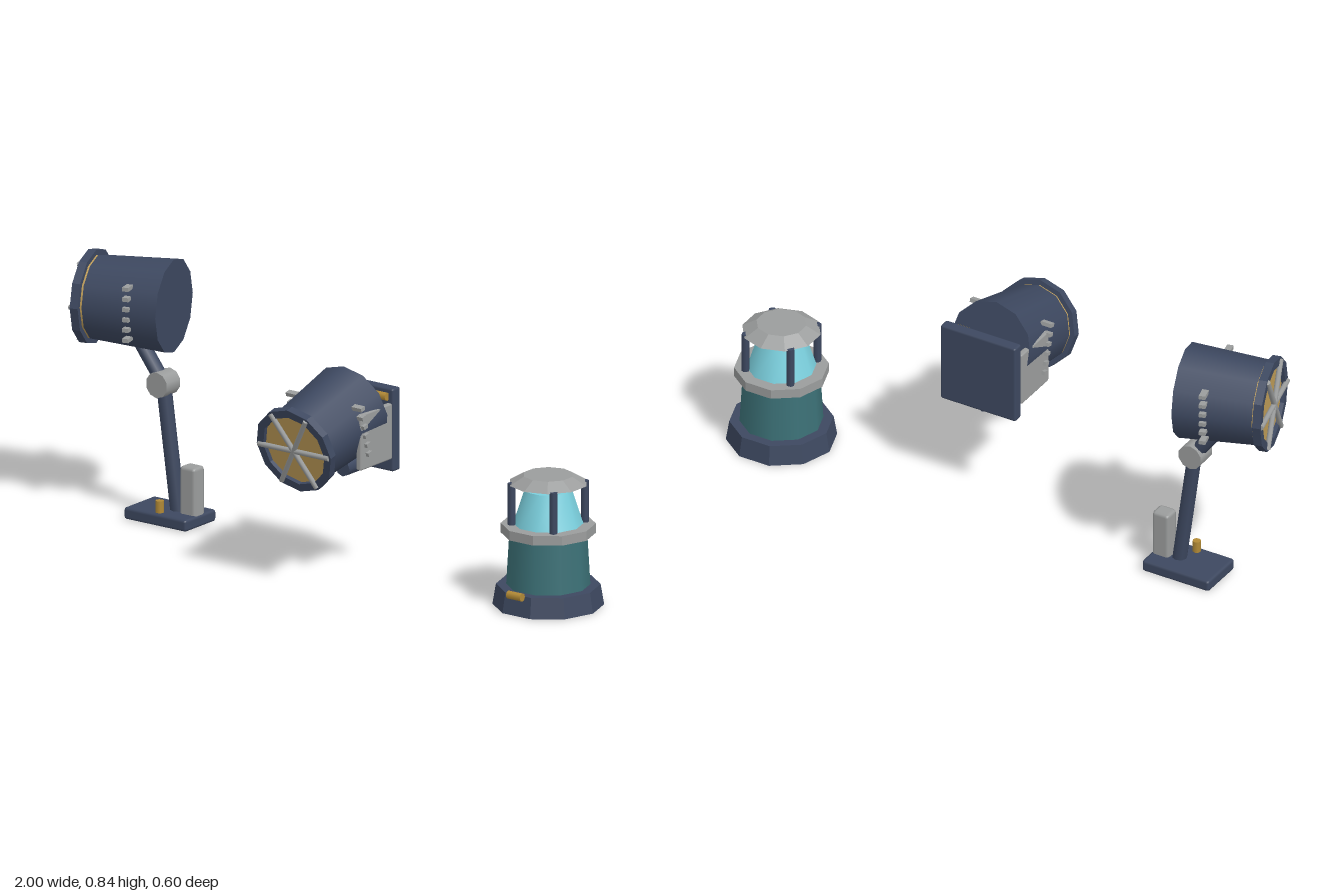
import * as THREE from 'three';
import { RoundedBoxGeometry } from 'three/addons/geometries/RoundedBoxGeometry.js';

const mat = (name, color, flat = false) => {
  const m = new THREE.MeshStandardMaterial({ color, flatShading: flat });
  m.name = name;
  return m;
};

export function createModel() {
  const navy = mat('navy paint', 0x3d4860);
  const grey = mat('grey metal', 0x9b9d9d);
  const brass = mat('brass', 0xb28a36);
  const amber = mat('amber lens', 0xbf9d58);
  const teal = mat('teal enamel', 0x3c7177);
  const cyan = mat('cyan glass', 0x7bd0de);

  const root = new THREE.Group();
  root.name = 'lightSet';

  const add = (parent, name, geo, material, x = 0, y = 0, z = 0) => {
    const m = new THREE.Mesh(geo, material);
    m.name = name;
    m.position.set(x, y, z);
    parent.add(m);
    return m;
  };
  const group = (name, x = 0, y = 0, z = 0) => {
    const g = new THREE.Group();
    g.name = name;
    g.position.set(x, y, z);
    root.add(g);
    return g;
  };
  const cyl = (rTop, rBottom, h, sides) => new THREE.CylinderGeometry(rTop, rBottom, h, sides);
  // Faceted cylinder with sharp sides
  const facet = (...a) => {
    const g = cyl(...a).toNonIndexed();
    g.computeVertexNormals();
    return g;
  };
  // Round bar between two points
  const bar = (parent, name, a, b, r, material) => {
    const p = new THREE.Vector3(...a), q = new THREE.Vector3(...b);
    const m = add(parent, name, cyl(r, r, p.distanceTo(q), 8), material);
    m.position.copy(p).add(q).multiplyScalar(0.5);
    m.quaternion.setFromUnitVectors(new THREE.Vector3(0, 1, 0), q.sub(p).normalize());
    return m;
  };
  const polygon = (Type, r, n) => new Type(Array.from({ length: n }, (_, i) => {
    const a = i * Math.PI * 2 / n;
    return new THREE.Vector2(Math.cos(a) * r, Math.sin(a) * r);
  }));

  // Spotlight head facing +z, origin at the centre of its front rim
  const spotHead = (s, length) => {
    const g = new THREE.Group();
    g.name = 'spotHead';
    const bodyLength = length - 0.02;
    const body = cyl(0.136 * s, 0.152 * s, bodyLength, 12).rotateX(Math.PI / 2);
    add(g, 'housing', body, navy, 0, 0, -0.02 - bodyLength / 2);

    const ring = polygon(THREE.Shape, 0.152 * s, 12);
    ring.holes.push(polygon(THREE.Path, 0.125 * s, 12));
    const rim = new THREE.ExtrudeGeometry(ring, { depth: 0.027, bevelEnabled: false });
    add(g, 'rim', rim, navy, 0, 0, -0.0135);
    add(g, 'lens', cyl(0.135 * s, 0.135 * s, 0.012, 12).rotateX(Math.PI / 2), amber, 0, 0, -0.0195);
    add(g, 'lensFace', cyl(0.124 * s, 0.124 * s, 0.014, 12).rotateX(Math.PI / 2), amber, 0, 0, -0.007);

    // Crossed guard bars
    for (let i = 0; i < 3; i++) {
      const a = i * Math.PI / 3, r = 0.144 * s;
      const c = Math.cos(a) * r, d = Math.sin(a) * r;
      bar(g, 'guardBar', [-c, -d, 0.014], [c, d, 0.014], 0.009 * s, grey);
    }
    // Cooling fins in a row on both sides
    for (const side of [-1, 1]) {
      for (let i = 0; i < 6; i++) {
        add(g, 'coolingFin', new THREE.BoxGeometry(0.04 * s, 0.013 * s, 0.021 * s), grey,
          side * 0.135 * s, (i - 2.5) * 0.0335 * s, -0.176);
      }
    }
    return g;
  };

  // Standing lamp
  const lamp = group('standingLamp');
  add(lamp, 'lampBase', new RoundedBoxGeometry(0.245, 0.04, 0.16, 1, 0.01), navy, -0.667, 0.02, -0.124);
  add(lamp, 'batteryBox', new RoundedBoxGeometry(0.062, 0.17, 0.055, 1, 0.012), grey, -0.58, 0.11, -0.124);
  add(lamp, 'switch', cyl(0.0135, 0.0135, 0.045, 8), brass, -0.665, 0.056, -0.068);
  bar(lamp, 'lowerArm', [-0.635, 0.03, -0.124], [-0.692, 0.445, -0.124], 0.024, navy);
  bar(lamp, 'upperArm', [-0.692, 0.445, -0.124], [-0.79, 0.575, -0.124], 0.024, navy);
  add(lamp, 'hinge', cyl(0.042, 0.042, 0.07, 10).rotateX(Math.PI / 2), grey, -0.692, 0.445, -0.122);
  const lampHead = spotHead(1, 0.277);
  lampHead.position.set(-0.944, 0.692, -0.088);
  lampHead.rotation.y = -1.322;
  lamp.add(lampHead);

  // Wall spotlight
  const wall = group('wallSpotlight', 0.106, 0, 0);
  add(wall, 'wallPlate', new RoundedBoxGeometry(0.275, 0.272, 0.039, 1, 0.008), navy, 0, 0.47, -0.097);
  for (const side of [-1, 1]) {
    add(wall, 'sideBracket', new RoundedBoxGeometry(0.02, 0.183, 0.165, 1, 0.006), grey, side * 0.127, 0.469, 0.007);
  }
  add(wall, 'switch', cyl(0.0135, 0.0135, 0.06, 8).rotateZ(Math.PI / 2), brass, 0.09, 0.58, -0.07);
  bar(wall, 'cableGland', [0, 0.342, -0.09], [0, 0.342, 0.003], 0.027, navy);
  const wallHead = spotHead(0.955, 0.29);
  wallHead.position.set(0, 0.463, 0.244);
  wallHead.rotation.x = 0.245;
  wall.add(wallHead);

  // Lantern
  const lantern = group('lantern', 0.822, 0, -0.117);
  const turned = (g) => g.rotateY(Math.PI / 2);
  add(lantern, 'lanternBase', turned(facet(0.164, 0.175, 0.066, 10)), navy, 0, 0.033, 0);
  add(lantern, 'lanternBody', turned(cyl(0.122, 0.132, 0.17, 10)), teal, 0, 0.15, 0);
  add(lantern, 'collar', turned(facet(0.149, 0.149, 0.031, 10)), grey, 0, 0.249, 0);
  add(lantern, 'glass', turned(cyl(0.074, 0.11, 0.111, 10)), cyan, 0, 0.32, 0);
  add(lantern, 'roof', facet(0.08, 0.126, 0.027, 10), grey, 0, 0.41, 0);
  for (const x of [-1, 1]) for (const z of [-1, 1]) {
    add(lantern, 'post', cyl(0.0125, 0.0125, 0.14, 8), navy, x * 0.082, 0.33, z * 0.082);
  }
  add(lantern, 'switch', cyl(0.0135, 0.0135, 0.055, 8).rotateZ(Math.PI / 2), brass, 0, 0.067, 0.171);

  return root;
}
